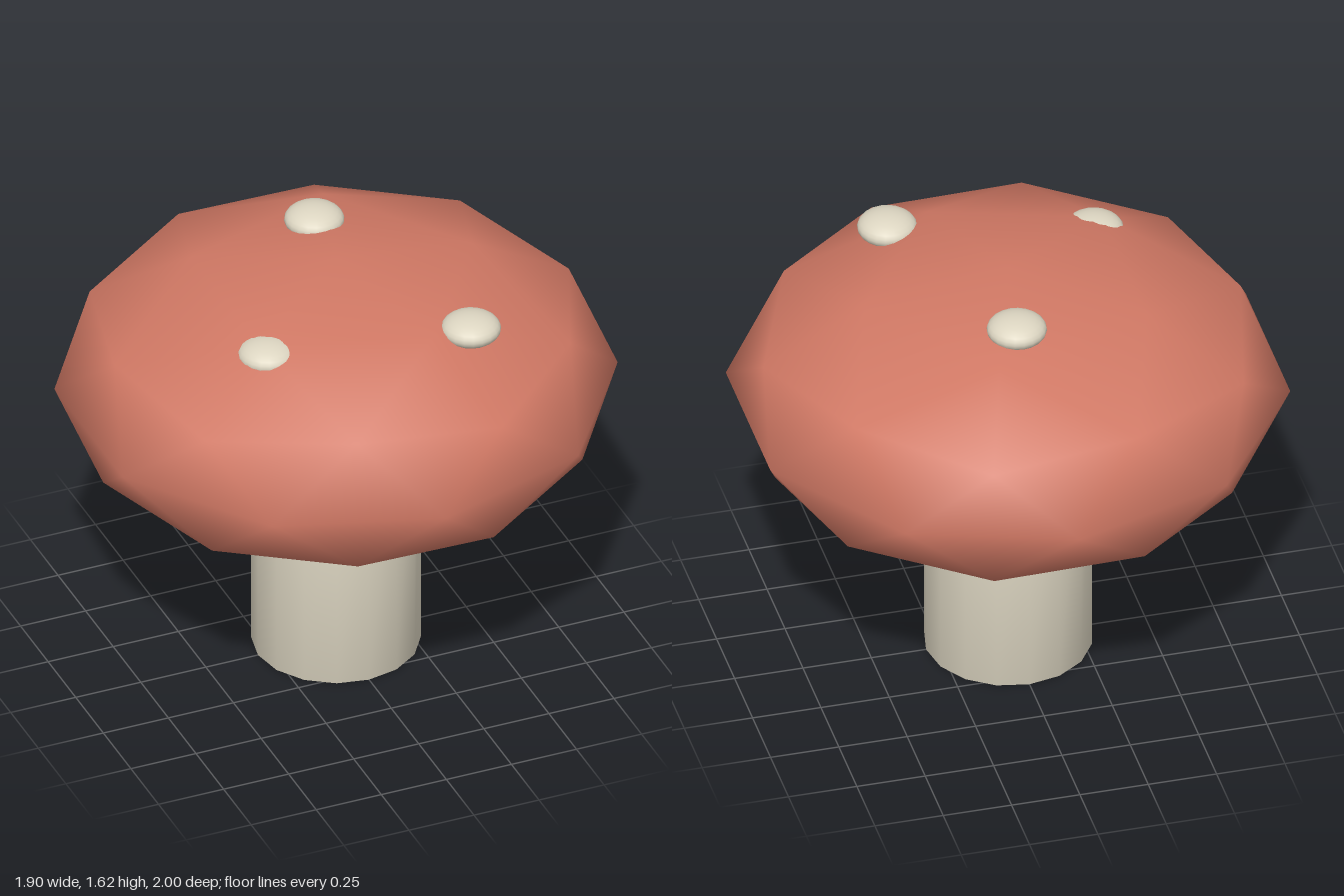
import * as THREE from 'three';
import { mergeVertices } from 'three/addons/utils/BufferGeometryUtils.js';

export function createModel() {
  const group = new THREE.Group();
  const capRed = new THREE.MeshStandardMaterial({ name: 'capRed', color: 0xd07864 });
  const cream = new THREE.MeshStandardMaterial({ name: 'cream', color: 0xdcd5c1 });

  const add = (name, geometry, material, x, y, z) => {
    const mesh = new THREE.Mesh(geometry, material);
    mesh.name = name;
    mesh.position.set(x, y, z);
    group.add(mesh);
  };

  // Stem: closed cylinder with normals blended across the rims
  const stem = new THREE.CylinderGeometry(0.3, 0.3, 1, 16);
  stem.deleteAttribute('uv');
  stem.deleteAttribute('normal');
  const smoothStem = mergeVertices(stem);
  smoothStem.computeVertexNormals();
  add('stem', smoothStem, cream, 0, 0.5, 0);

  // Cap: smooth low-poly icosphere, turned so one vertex points up, then flattened
  const cap = new THREE.IcosahedronGeometry(1, 1);
  cap.rotateZ(-Math.atan(2 / (1 + Math.sqrt(5))));
  cap.scale(1, 0.5, 1);
  add('cap', cap, capRed, 0, 1.105, 0);

  // Spots: flattened balls half sunk into the cap
  const spot = new THREE.SphereGeometry(0.107, 20, 14);
  spot.scale(1, 0.5, 1);
  add('frontLeftSpot', spot, cream, 0.317, 1.512, 0.475);
  add('backSpot', spot, cream, 0.052, 1.562, -0.32);
  add('frontRightSpot', spot, cream, -0.395, 1.486, 0.31);

  return group;
}
